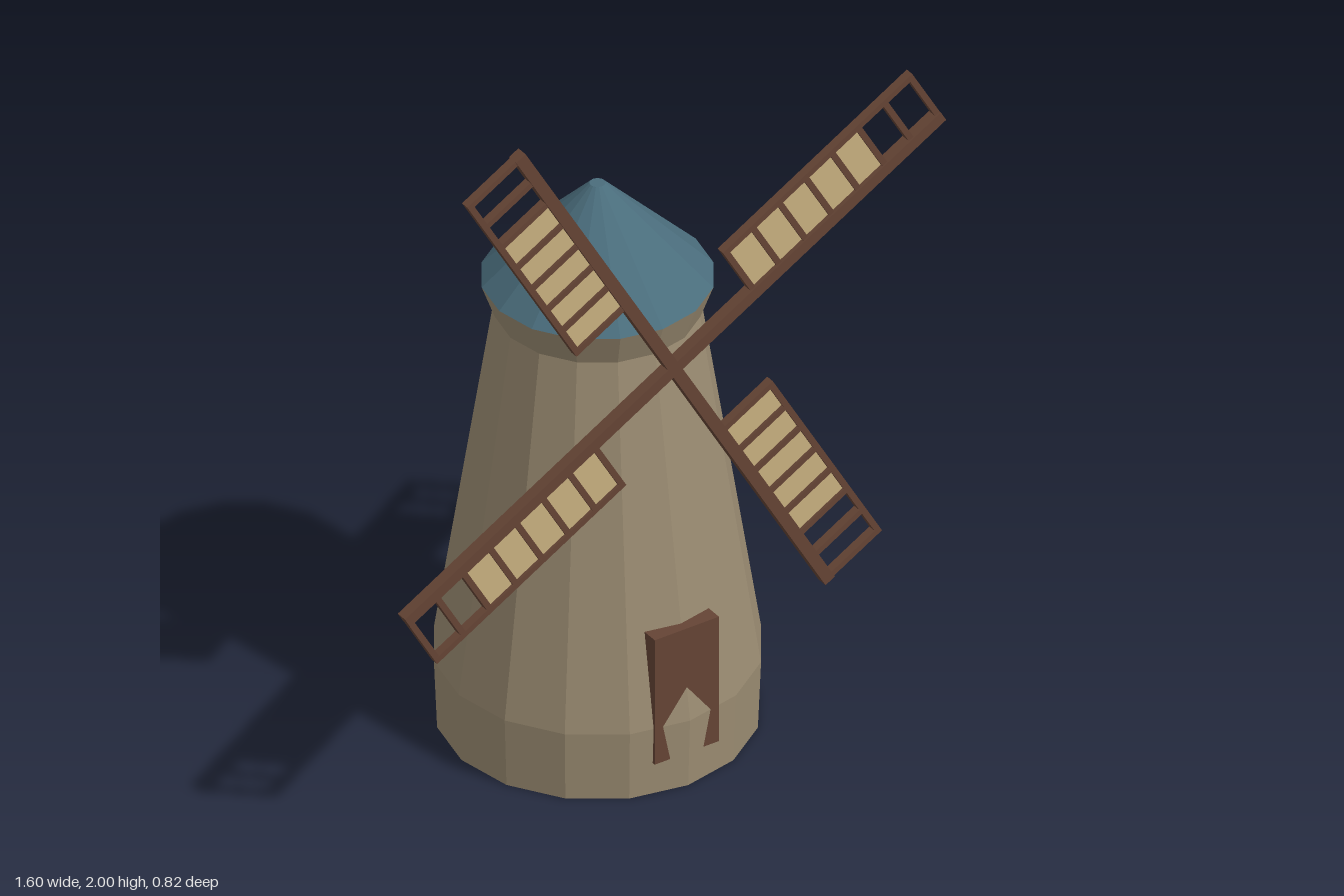
import * as THREE from 'three';

const SIDES = 16;

function material(name, color) {
  const m = new THREE.MeshStandardMaterial({ color });
  m.name = name;
  return m;
}

// Faceted solid of revolution from [radius, height] points, bottom to top
function turned(name, profile, mat) {
  const points = profile.map(([r, y]) => new THREE.Vector2(r, y));
  const geometry = new THREE.LatheGeometry(points, SIDES).toNonIndexed();
  geometry.computeVertexNormals();
  const mesh = new THREE.Mesh(geometry, mat);
  mesh.name = name;
  return mesh;
}

// Box given by its lower and upper limits in x and y, with a depth centred on z
function slab(name, x0, x1, y0, y1, depth, mat, z = 0) {
  const mesh = new THREE.Mesh(new THREE.BoxGeometry(x1 - x0, y1 - y0, depth), mat);
  mesh.position.set((x0 + x1) / 2, (y0 + y1) / 2, z);
  mesh.name = name;
  return mesh;
}

// One sail along +x: spar, ladder frame and cloth between the inner rungs
function createSail(wood, cloth) {
  const sail = new THREE.Group();
  sail.name = 'sail';
  const start = 0.269, end = 0.916, bar = 0.016, top = 0.18, cells = 7, clothCells = 5;
  const step = (end - start - bar) / cells;
  sail.add(slab('spar', 0, end, -0.016, 0.016, 0.032, wood));
  sail.add(slab('outerRail', start, end, top - bar, top, 0.024, wood));
  for (let i = 0; i <= cells; i++) {
    const x = start + i * step;
    sail.add(slab('rung', x, x + bar, 0.01, top - bar / 2, 0.0236, wood));
  }
  sail.add(slab('sailCloth', start + bar / 2, start + clothCells * step + bar / 2,
    0.01, top - bar / 2, 0.008, cloth));
  return sail;
}

export function createModel() {
  const stone = material('stone', 0x9b8c72);
  const slate = material('slateBlue', 0x4a6d7c);
  const wood = material('brownWood', 0x654435);
  const canvas = material('canvas', 0xc8b080);

  const model = new THREE.Group();
  model.name = 'windmill';

  // Tapered tower with a flared collar, and its roof
  model.add(turned('tower',
    [[0, 0], [0.403, 0], [0.411, 0.195], [0.258, 1.196], [0.291, 1.287]], stone));
  model.add(turned('roof', [[0.291, 1.287], [0.02, 1.56], [0, 1.56]], slate));

  // Door set into the wall, which bulges through its lower middle
  model.add(slab('door', -0.095, 0.095, 0.092, 0.46, 0.06, wood, 0.367));

  // Four sails around the hub
  const rotor = new THREE.Group();
  rotor.name = 'rotor';
  rotor.position.set(0, 1.198, 0.331);
  for (let i = 0; i < 4; i++) {
    const sail = createSail(wood, canvas);
    sail.rotation.z = Math.PI / 6 + i * Math.PI / 2;
    rotor.add(sail);
  }
  model.add(rotor);

  return model;
}
